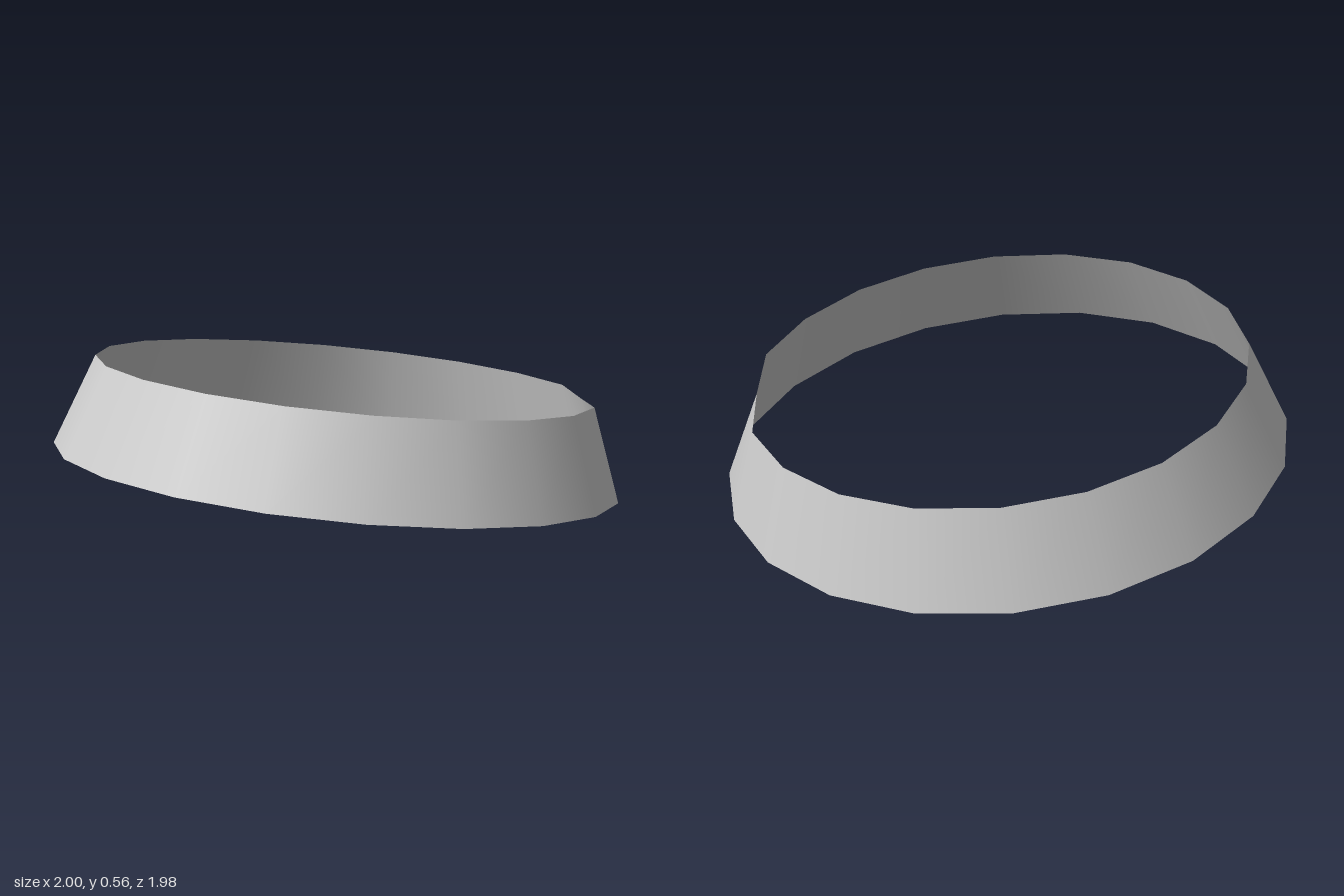
import * as THREE from 'three';

const SIDES = 20;
const TILT = Math.atan(0.1305); // front rim sits higher than the back
const HEIGHT = 0.32;

export function createModel() {
  const group = new THREE.Group();
  group.name = 'tiltedRing';

  // Open tapered band
  const geometry = new THREE.CylinderGeometry(0.88, 1, HEIGHT, SIDES, 1, true);
  geometry.translate(0, HEIGHT / 2, 0);

  // Small dent in the upper rim, at the back left
  geometry.attributes.position.setXYZ(8, 0.503, HEIGHT - 0.008, -0.683);

  // Tilt, then rest the lowest point on the ground
  geometry.rotateX(-TILT);
  geometry.translate(0, Math.sin(TILT), 0);

  const band = new THREE.Mesh(
    geometry,
    new THREE.MeshStandardMaterial({ color: 0xcccccc, side: THREE.DoubleSide })
  );
  band.name = 'band';
  group.add(band);
  return group;
}
